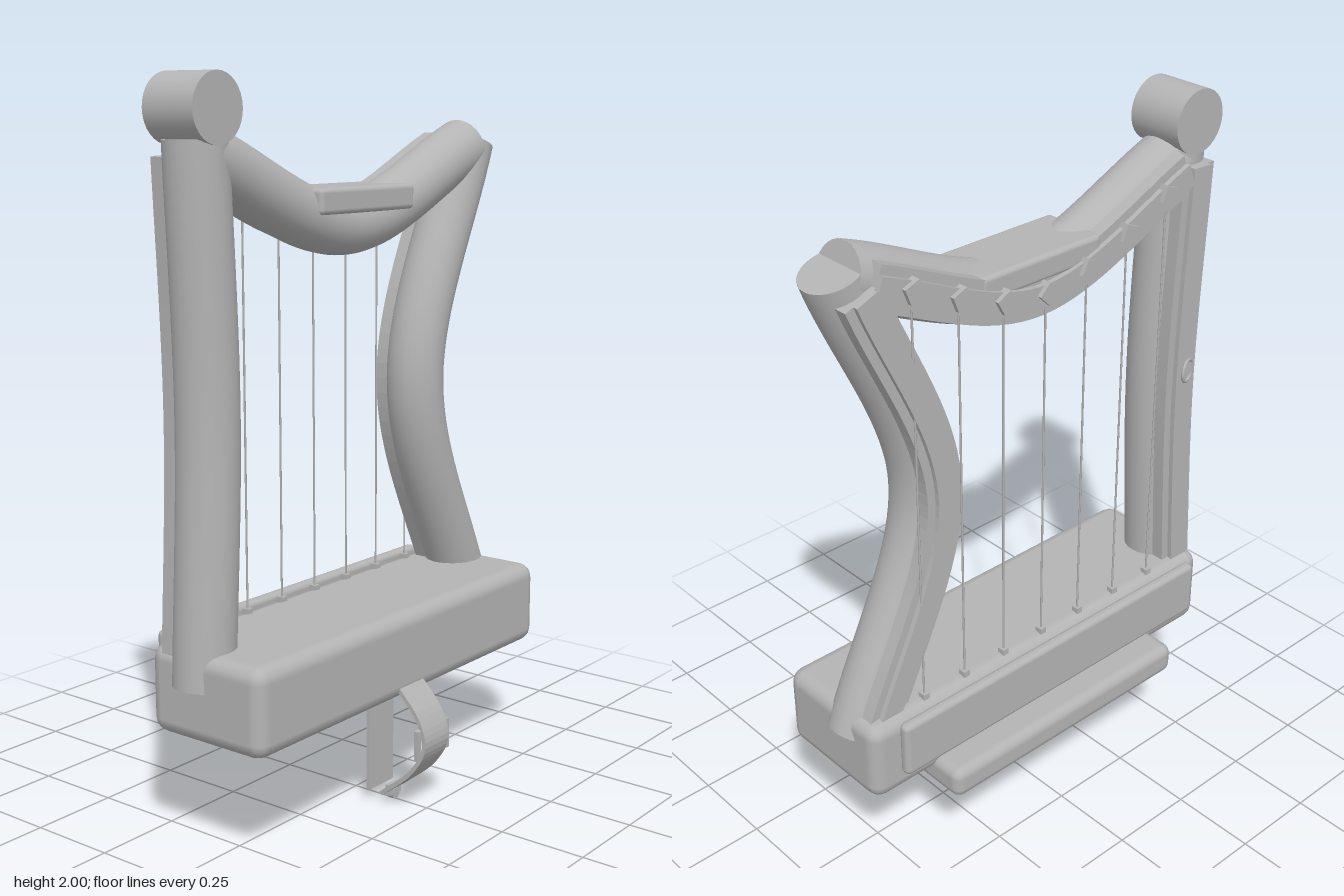
import * as THREE from 'three';
import { RoundedBoxGeometry } from 'three/addons/geometries/RoundedBoxGeometry.js';

const AXIS_Z = -0.045; // depth of the tubular frame
const RADIUS = 0.083;

export function createModel() {
  const model = new THREE.Group();
  model.name = 'lyre';
  const grey = new THREE.MeshStandardMaterial({ color: 0xb4b4b4 });
  grey.name = 'plain grey';

  const add = (name, geometry, x = 0, y = 0, z = 0, parent = model) => {
    const mesh = new THREE.Mesh(geometry, grey);
    mesh.name = name;
    mesh.position.set(x, y, z);
    parent.add(mesh);
    return mesh;
  };
  const roundedBox = (name, x0, x1, y0, y1, z0, z1, r) =>
    add(name, new RoundedBoxGeometry(x1 - x0, y1 - y0, z1 - z0, 2, r),
      (x0 + x1) / 2, (y0 + y1) / 2, (z0 + z1) / 2);
  const box = (name, w, h, d, x, y, z) => add(name, new THREE.BoxGeometry(w, h, d), x, y, z);

  // Smooth tube with flat end caps
  const cappedTube = (name, curve) => {
    const group = new THREE.Group();
    group.name = name;
    add(name + 'Tube', new THREE.TubeGeometry(curve, 40, RADIUS, 28, false), 0, 0, 0, group);
    for (const t of [0, 1]) {
      const p = curve.getPoint(t);
      const out = curve.getTangent(t).multiplyScalar(t ? 1 : -1);
      const cap = add(name + 'Cap', new THREE.CircleGeometry(RADIUS, 28), p.x, p.y, p.z, group);
      cap.quaternion.setFromUnitVectors(new THREE.Vector3(0, 0, 1), out);
    }
    model.add(group);
  };

  // Flat strip of given thickness following a curve in the XY plane
  const strip = (name, curve, width, zBack, zFront) => {
    const sideA = [], sideB = [];
    for (let i = 0; i <= 32; i++) {
      const t = 0.03 + 0.94 * i / 32;
      const p = curve.getPoint(t), d = curve.getTangent(t);
      const nx = -d.y * width / 2, ny = d.x * width / 2;
      sideA.push(new THREE.Vector2(p.x + nx, p.y + ny));
      sideB.unshift(new THREE.Vector2(p.x - nx, p.y - ny));
    }
    add(name, new THREE.ExtrudeGeometry(new THREE.Shape([...sideA, ...sideB]),
      { depth: zFront - zBack, bevelEnabled: false }), 0, 0, zBack);
  };

  // Frame: two arms and a sagging crossbar, with layered strips on the back
  const curveThrough = pts =>
    new THREE.CatmullRomCurve3(pts.map(([x, y]) => new THREE.Vector3(x, y, AXIS_Z)));
  const frame = {
    rightArm: curveThrough([[-0.575, 0.46], [-0.545, 1.15], [-0.57, 1.84]]),
    leftArm: curveThrough([[0.58, 0.47], [0.335, 1.14], [0.578, 1.815]]),
    crossbar: curveThrough([[-0.56, 1.8], [0, 1.605], [0.56, 1.8]]),
  };
  for (const [name, curve] of Object.entries(frame)) {
    cappedTube(name, curve);
    strip(name + 'BackStrip', curve, 0.115, -0.142, -0.09);
    strip(name + 'BackRidge', curve, 0.065, -0.156, -0.14);
  }

  // Round knob above the right arm
  const knob = add('knob', new THREE.CylinderGeometry(0.088, 0.088, 0.165, 32), -0.577, 1.912, AXIS_Z);
  knob.rotation.x = Math.PI / 2;

  // Grip on the crossbar, sound box, and slabs behind and below it
  roundedBox('grip', -0.203, 0.203, 1.64, 1.71, -0.145, 0.048, 0.014);
  roundedBox('soundBox', -0.635, 0.635, 0.318, 0.56, -0.186, 0.197, 0.042);
  roundedBox('backSlab', -0.56, 0.56, 0.4, 0.567, -0.231, -0.195, 0.016);
  roundedBox('lowerSlab', -0.43, 0.43, 0.265, 0.36, -0.28, -0.02, 0.03);
  box('backSlabMount', 1.0, 0.1, 0.03, 0, 0.48, -0.19);

  // Strings with tuning pegs and bottom anchors
  for (let i = -3; i <= 3; i++) {
    const x = i * 0.144;
    const t = (x + 0.56) / 1.12;
    const p = frame.crossbar.getPoint(t), d = frame.crossbar.getTangent(t);
    const length = p.y - 0.555;
    add('string', new THREE.CylinderGeometry(0.003, 0.003, length, 6), x, 0.555 + length / 2, -0.151);
    const peg = box('peg', 0.046, 0.046, 0.045, x, p.y + 0.01, -0.146);
    peg.rotation.z = Math.PI / 4 + Math.atan2(d.y, d.x);
    box('stringAnchor', 0.02, 0.022, 0.022, x, 0.563, -0.151);
  }

  // Small ring behind the right arm
  add('ring', new THREE.TorusGeometry(0.032, 0.005, 8, 24), -0.55, 1.2, -0.161).rotation.y = 0.35;

  // Hanging strap: curved front band, straight rear band
  const strapCurve = new THREE.CatmullRomCurve3([[0.185, 0.355], [0.255, 0.275], [0.277, 0.2], [0.235, 0.12], [0.13, 0.03]]
    .map(([z, y]) => new THREE.Vector3(z, y, 0)));
  const outer = [], inner = [];
  for (let i = 0; i <= 20; i++) {
    const p = strapCurve.getPoint(i / 20), d = strapCurve.getTangent(i / 20);
    outer.push(new THREE.Vector2(p.x - d.y * 0.006, p.y + d.x * 0.006));
    inner.unshift(new THREE.Vector2(p.x + d.y * 0.006, p.y - d.x * 0.006));
  }
  const strap = add('strapFront', new THREE.ExtrudeGeometry(new THREE.Shape([...outer, ...inner]),
    { depth: 0.11, bevelEnabled: false }), 0.055, 0, 0);
  strap.rotation.y = -Math.PI / 2;
  box('strapBack', 0.11, 0.3, 0.011, 0, 0.18, 0.086);

  // Buckle frame around the strap and the stud at its tip
  for (const s of [-1, 1]) {
    box('buckleSide', 0.012, 0.085, 0.014, s * 0.067, 0.207, 0.265);
    box('buckleBar', 0.14, 0.01, 0.014, 0, 0.207 + s * 0.038, 0.262);
  }
  box('strapTip', 0.05, 0.03, 0.018, 0, 0.03, 0.134);
  const stud = add('stud', new THREE.CylinderGeometry(0.017, 0.017, 0.02, 16), 0, 0.017, 0.134);
  stud.rotation.x = Math.PI / 2;

  return model;
}
